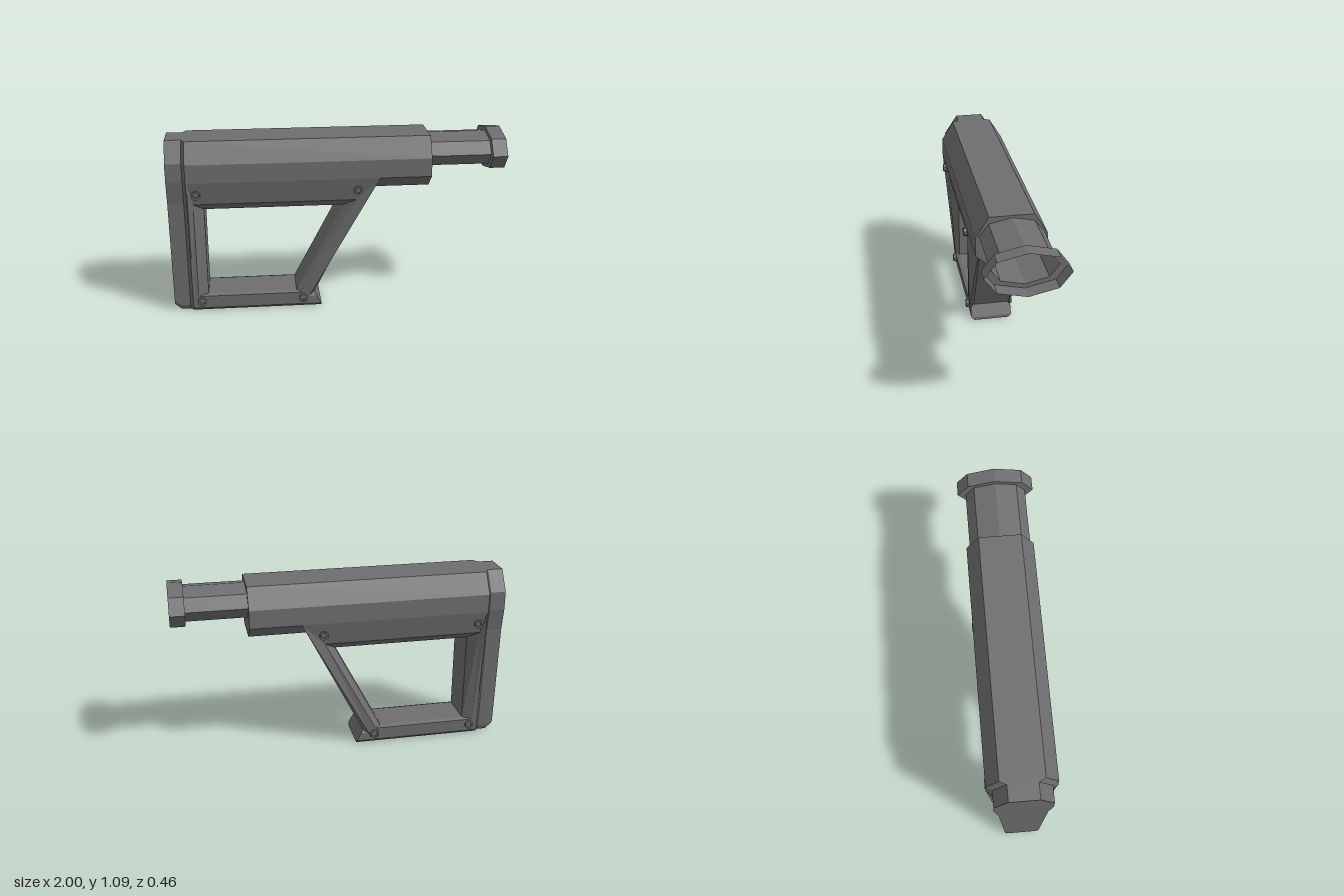
import * as THREE from 'three';

const grey = new THREE.MeshStandardMaterial({ color: 0x6e6e70 });
grey.name = 'grey';
const greyShell = new THREE.MeshStandardMaterial({ color: 0x6e6e70, side: THREE.DoubleSide });
greyShell.name = 'grey shell';

// Faceted skin over a row of rings of [x, y, z] points, ends capped or joined up
function loft(rings, { caps = true, closed = false } = {}) {
  const pos = [];
  const quad = (a, b, c, d) => pos.push(...a, ...b, ...c, ...a, ...c, ...d);
  const n = rings[0].length;
  const spans = closed ? rings.length : rings.length - 1;
  for (let k = 0; k < spans; k++) {
    const a = rings[k], b = rings[(k + 1) % rings.length];
    for (let i = 0; i < n; i++) {
      const j = (i + 1) % n;
      quad(a[i], a[j], b[j], b[i]);
    }
  }
  if (caps && !closed) {
    const a = rings[0], b = rings[rings.length - 1];
    for (let i = 0; i < n / 2 - 1; i++) {
      const j = n - 1 - i;
      quad(b[i], b[i + 1], b[j - 1], b[j]);
      quad(a[j], a[j - 1], a[i + 1], a[i]);
    }
  }
  const geo = new THREE.BufferGeometry();
  geo.setAttribute('position', new THREE.Float32BufferAttribute(pos, 3));
  geo.computeVertexNormals();
  return geo;
}

// Mirrored ring from a half profile of [z, y] points, listed from the top down
function ringAt(x, half) {
  const xAt = typeof x === 'function' ? x : () => x;
  return [
    ...half.map(([z, y]) => [xAt(y), y, z]),
    ...half.slice().reverse().map(([z, y]) => [xAt(y), y, -z]),
  ];
}

// Half width of the tapering frame at a height
function frameWidth(y) {
  const steps = [[0, 0.129], [0.1, 0.135], [0.71, 0.17], [0.85, 0.2]];
  for (let i = 1; i < steps.length; i++) {
    const [y0, w0] = steps[i - 1], [y1, w1] = steps[i];
    if (y <= y1) return w0 + ((w1 - w0) * (y - y0)) / (y1 - y0);
  }
  return 0.2;
}

export function createModel() {
  const model = new THREE.Group();
  model.name = 'stock';
  const add = (name, geo, mat = grey) => {
    const mesh = new THREE.Mesh(geo, mat);
    mesh.name = name;
    model.add(mesh);
    return mesh;
  };

  // Upper housing
  const body = [[0.125, 1.08], [0.2, 0.96], [0.2, 0.85], [0.11, 0.77]];
  add('housing', loft([ringAt(-0.88, body), ringAt(0.555, body)]));

  // Butt plate, stepping out to meet the housing and frame
  const narrow = [[0.085, 1.08], [0.165, 0.96], [0.165, 0.85], [0.14, 0.71], [0.105, 0.03], [0.09, 0]];
  const wide = [[0.125, 1.08], [0.2, 0.96], [0.2, 0.85], [0.17, 0.71], [0.13, 0.02], [0.11, 0]];
  const rear = narrow.map(([z, y]) => [z, Math.max(y, y < 0.02 ? 0.035 : 0.06)]);
  add('buttPlate', loft([
    ringAt(-1, rear), ringAt(-0.96, narrow), ringAt(-0.905, narrow),
    ringAt(-0.885, wide), ringAt(-0.875, wide),
  ]));

  // Open frame: each corner lists outer edge, face outer, face inner and hole edge
  const corners = [
    [[-0.88, 0.85], [-0.88, 0.85], [-0.85, 0.71], [-0.79, 0.66]],
    [[0.24, 0.85], [0.25, 0.85], [0.11, 0.71], [0.04, 0.66]],
    [[-0.185, 0], [-0.2, 0.02], [-0.215, 0.1], [-0.25, 0.11]],
    [[-0.88, 0], [-0.88, 0.02], [-0.85, 0.1], [-0.79, 0.11]],
  ];
  const sections = corners.map((c) => {
    const side = c.map(([x, y], i) => [x, y, i === 0 || i === 3 ? 0.11 : frameWidth(y)]);
    return [...side, ...side.slice().reverse().map(([x, y, z]) => [x, y, -z])];
  });
  add('frame', loft(sections, { closed: true }));

  // Toe at the foot of the strut, its front leaning back
  const toe = [[0.115, 0.097], [0.131, 0.07], [0.131, 0.02], [0.11, 0]];
  const lean = (y) => -0.097 - Math.max(0, y - 0.02) * 0.55;
  add('toe', loft([ringAt(-0.21, toe), ringAt(lean, toe)]));

  // Hollow eight-sided tube and its open collar
  const oval = (x, rz, ry) => Array.from({ length: 8 }, (_, i) => {
    const a = (i * Math.PI) / 4;
    return [x, 0.968 + ry * Math.cos(a), rz * Math.sin(a)];
  });
  add('tube', loft([oval(0.55, 0.18, 0.1), oval(0.912, 0.18, 0.1)], { caps: false }), greyShell);
  add('collar', loft([
    oval(0.912, 0.18, 0.1), oval(0.912, 0.228, 0.125), oval(1, 0.228, 0.125),
  ], { caps: false }), greyShell);

  // Bolts with sunk heads on both sides
  const boltProfile = [[0.027, -0.05], [0.027, 0], [0.016, 0], [0.013, -0.008], [0, -0.008]]
    .map(([r, h]) => new THREE.Vector2(r, h));
  const boltGeo = new THREE.LatheGeometry(boltProfile, 8, Math.PI / 8).toNonIndexed();
  boltGeo.computeVertexNormals();
  const bolts = [[-0.83, 0.775, 0.205], [0.12, 0.775, 0.205], [-0.83, 0.065, 0.152], [-0.21, 0.065, 0.152]];
  for (const [x, y, z] of bolts) {
    for (const s of [1, -1]) {
      const bolt = add('bolt', boltGeo, greyShell);
      bolt.position.set(x, y, s * z);
      bolt.rotation.x = (s * Math.PI) / 2;
    }
  }
  return model;
}
